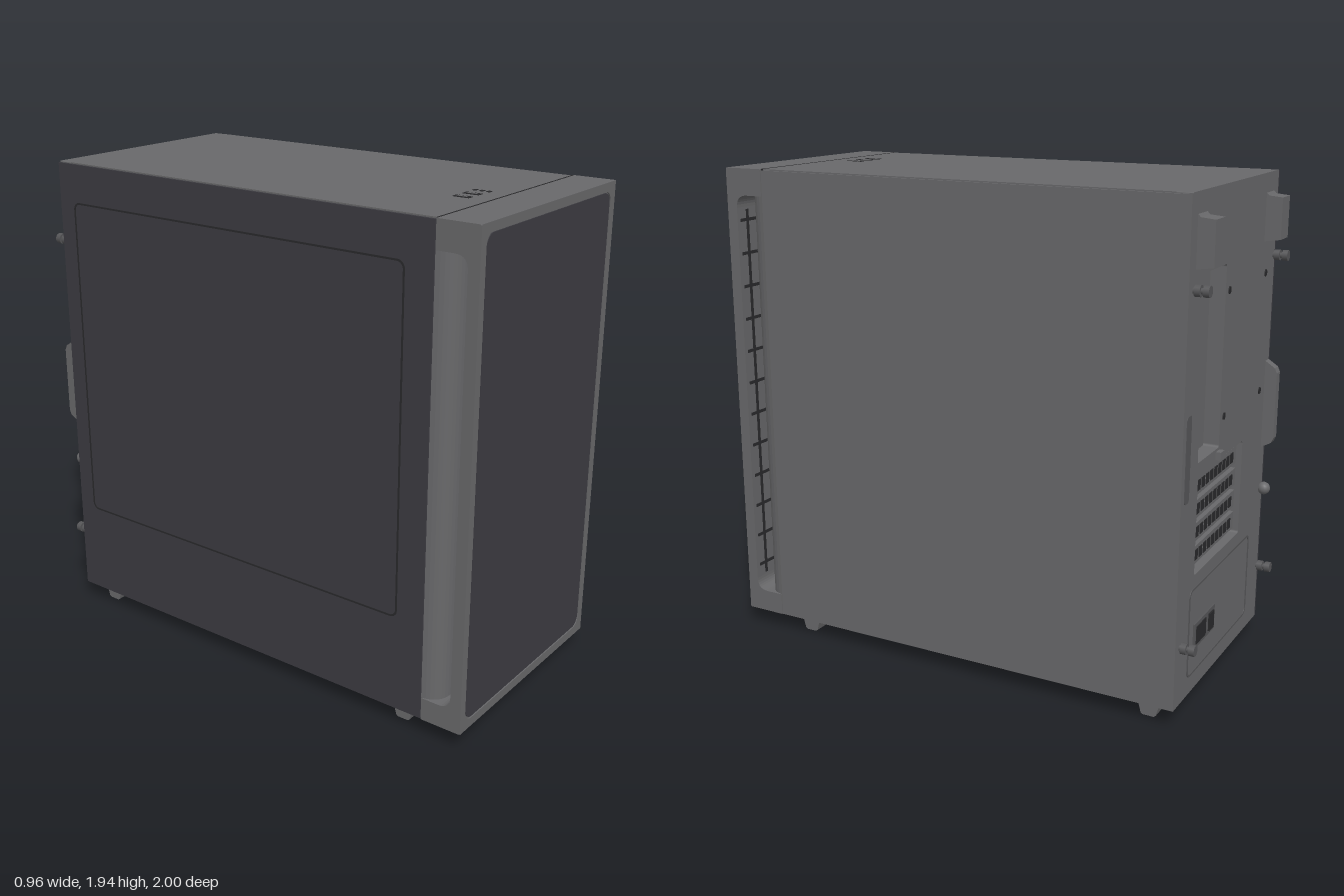
import * as THREE from 'three';

const mat = (name, color) => Object.assign(new THREE.MeshStandardMaterial({ color }), { name });

export function createModel() {
  const g = new THREE.Group();
  g.name = 'computerCase';
  const grey = mat('steel grey', 0x68686a);
  const dark = mat('dark panel', 0x3c3b41);
  const black = mat('seam black', 0x29292b);
  const mid = mat('filter grey', 0x565658);

  const add = (name, geo, m) => {
    const mesh = new THREE.Mesh(geo, m);
    mesh.name = name;
    g.add(mesh);
    return mesh;
  };
  // box given by its limits on each axis
  const box = (name, m, x0, x1, y0, y1, z0, z1) => {
    const geo = new THREE.BoxGeometry(x1 - x0, y1 - y0, z1 - z0);
    geo.translate((x0 + x1) / 2, (y0 + y1) / 2, (z0 + z1) / 2);
    return add(name, geo, m);
  };
  // rounded rectangle as a shape or hole
  const roundRect = (x0, x1, y0, y1, r, Type = THREE.Shape) => {
    const s = new Type();
    s.absarc(x1 - r, y0 + r, r, -Math.PI / 2, 0);
    s.absarc(x1 - r, y1 - r, r, 0, Math.PI / 2);
    s.absarc(x0 + r, y1 - r, r, Math.PI / 2, Math.PI);
    s.absarc(x0 + r, y0 + r, r, Math.PI, Math.PI * 1.5);
    s.closePath();
    return s;
  };
  const extrude = (s, depth) => new THREE.ExtrudeGeometry(s, { depth, bevelEnabled: false, curveSegments: 8 });
  // shape drawn in (z, y), extruded across x from x0 to x1
  const acrossX = (s, x0, x1) => extrude(s, x1 - x0).rotateY(-Math.PI / 2).translate(x1, 0, 0);

  // main body and side panels
  box('body', grey, -0.465, 0.465, 0.07, 1.935, -0.875, 0.83);
  box('solidSidePanel', grey, 0.465, 0.475, 0.07, 1.93, -0.935, 0.83);
  box('glassSidePanel', dark, -0.475, -0.465, 0.07, 1.93, -0.935, 0.826);
  const rim = roundRect(-0.86, 0.715, 0.45, 1.78, 0.03);
  rim.holes.push(roundRect(-0.853, 0.708, 0.457, 1.773, 0.025, THREE.Path));
  add('windowOutline', acrossX(rim, -0.477, -0.475), black);

  // rounded nose of the body behind the air gap
  const nose = new THREE.Shape();
  nose.moveTo(-0.475, 0.83);
  nose.lineTo(0.475, 0.83);
  nose.quadraticCurveTo(0.465, 0.905, 0.39, 0.905);
  nose.lineTo(-0.39, 0.905);
  nose.quadraticCurveTo(-0.465, 0.905, -0.475, 0.83);
  add('bodyNose', extrude(nose, 1.67).rotateX(Math.PI / 2).translate(0, 1.83, 0), grey);

  // front bezel: C profile leaving an open air gap through both sides
  const c = new THREE.Shape();
  c.moveTo(0.832, 0.07);
  c.lineTo(0.995, 0.07);
  c.lineTo(0.995, 1.935);
  c.lineTo(0.832, 1.935);
  c.lineTo(0.832, 1.83);
  c.lineTo(0.905, 1.83);
  c.quadraticCurveTo(0.955, 1.83, 0.955, 1.78);
  c.lineTo(0.955, 0.21);
  c.quadraticCurveTo(0.955, 0.16, 0.905, 0.16);
  c.lineTo(0.832, 0.16);
  c.closePath();
  add('frontBezel', acrossX(c, -0.478, 0.478), grey);
  const frame = roundRect(-0.478, 0.478, 0.07, 1.935, 0.004);
  frame.holes.push(roundRect(-0.445, 0.445, 0.105, 1.903, 0.045, THREE.Path));
  add('frontFrame', extrude(frame, 0.005).translate(0, 0, 0.995), grey);
  add('frontMesh', extrude(roundRect(-0.44, 0.44, 0.11, 1.898, 0.042), 0.004).translate(0, 0, 0.995), dark);
  box('controlBoard', mid, -0.18, 0.06, 1.7, 1.84, 0.9, 0.96);
  box('topSeam', black, -0.47, 0.47, 1.93, 1.936, 0.827, 0.833);

  // ribs on the back of the front panel
  for (const s of [-1, 1]) {
    for (let i = 0; i < 12; i++) {
      const y = 0.26 + i * 0.133, a = s * 0.46, b = s * 0.3;
      box('gapRib', black, Math.min(a, b), Math.max(a, b), y, y + 0.012, 0.951, 0.956);
    }
    box('gapRail', black, s * 0.42 - 0.006, s * 0.42 + 0.006, 0.22, 1.77, 0.951, 0.956);
  }

  // ports and button on top
  for (const x of [-0.13, -0.065]) {
    box('usbPort', black, x - 0.014, x + 0.014, 1.93, 1.937, 0.685, 0.75);
    box('usbTongue', grey, x - 0.004, x + 0.007, 1.93, 1.938, 0.695, 0.735);
  }
  for (const z of [0.69, 0.718, 0.746]) box('powerButton', black, -0.01, 0.01, 1.93, 1.937, z - 0.007, z + 0.007);

  // tapered foot bars
  for (const z of [0.72, -0.82]) {
    const f = new THREE.Shape();
    f.moveTo(z - 0.048, 0.072);
    f.lineTo(z - 0.03, 0.006);
    f.lineTo(z - 0.022, 0);
    f.lineTo(z + 0.022, 0);
    f.lineTo(z + 0.03, 0.006);
    f.lineTo(z + 0.048, 0.072);
    f.closePath();
    add('footBar', acrossX(f, -0.425, 0.425), grey);
  }

  // underside dust filter
  box('filterRim', grey, -0.335, 0.335, 0.064, 0.07, -0.76, 0.42);
  box('dustFilter', mid, -0.32, 0.32, 0.062, 0.066, -0.745, 0.405);
  box('filterHandle', grey, -0.22, -0.19, 0.058, 0.066, -0.7, -0.2);

  // rear plate with the port and card openings
  const back = roundRect(-0.465, 0.465, 0.07, 1.935, 0.003);
  back.holes.push(roundRect(0.1, 0.32, 0.97, 1.65, 0.01, THREE.Path));
  back.holes.push(roundRect(-0.18, 0.31, 0.54, 0.92, 0.01, THREE.Path));
  add('rearPlate', extrude(back, 0.06).translate(0, 0, -0.935), grey);

  // expansion slot covers with vent holes
  for (let i = 0; i < 4; i++) {
    const y = 0.56 + i * 0.09;
    box('slotCover', grey, -0.17, 0.3, y, y + 0.07, -0.915, -0.875);
    for (let j = 0; j < 9; j++) {
      const x = -0.13 + j * 0.045;
      box('slotVent', black, x, x + 0.03, y + 0.015, y + 0.055, -0.918, -0.914);
    }
  }

  // power supply plate and socket
  const psu = roundRect(-0.32, 0.35, 0.14, 0.49, 0.03);
  psu.holes.push(roundRect(-0.312, 0.342, 0.148, 0.482, 0.024, THREE.Path));
  add('powerSupplyOutline', extrude(psu, 0.004).translate(0, 0, -0.938), mid);
  box('socketPlate', mid, 0.08, 0.295, 0.24, 0.34, -0.942, -0.93);
  box('powerSocket', black, 0.18, 0.28, 0.255, 0.325, -0.945, -0.94);
  box('powerSwitch', black, 0.1, 0.15, 0.255, 0.325, -0.948, -0.94);

  // fan screw holes and a small latch
  for (const [x, y] of [[0.06, 1.55], [0.06, 1.08], [-0.36, 1.55], [-0.36, 1.08]]) {
    const h = add('fanScrewHole', new THREE.CylinderGeometry(0.014, 0.014, 0.004, 12).rotateX(Math.PI / 2), black);
    h.position.set(x, y, -0.936);
  }
  box('rearLatch', grey, 0.09, 0.13, 0.93, 0.96, -0.955, -0.93);

  // rear stand-off blocks and thumb screws
  const screw = (x, y, z) => {
    const shank = add('screwShank', new THREE.CylinderGeometry(0.011, 0.011, 0.06, 10).rotateX(Math.PI / 2), mid);
    shank.position.set(x, y, z + 0.03);
    for (const d of [0.01, 0.042]) {
      const head = add('screwHead', new THREE.CylinderGeometry(0.021, 0.021, 0.022, 14).rotateX(Math.PI / 2), mid);
      head.position.set(x, y, z + d);
    }
  };
  for (const s of [-1, 1]) {
    const block = new THREE.Shape();
    block.moveTo(-0.93, 1.865);
    block.lineTo(-0.945, 1.85);
    block.lineTo(-0.998, 1.845);
    block.lineTo(-0.998, 1.685);
    block.lineTo(-0.93, 1.675);
    block.closePath();
    add('rearBlock', acrossX(block, s * 0.37 - 0.045, s * 0.37 + 0.045), grey);
    for (const y of [0.31, 1.61]) screw(s * 0.44, y, -0.998);
  }
  const knob = add('rearKnob', new THREE.SphereGeometry(0.026, 14, 10), grey);
  knob.position.set(-0.44, 0.65, -0.952);

  // glass panel grip and the recess opposite
  const grip = new THREE.Shape();
  grip.moveTo(-0.93, 0.825);
  grip.lineTo(-0.975, 0.85);
  grip.lineTo(-0.984, 0.87);
  grip.lineTo(-0.984, 1.14);
  grip.lineTo(-0.975, 1.16);
  grip.lineTo(-0.93, 1.19);
  grip.closePath();
  add('panelGrip', acrossX(grip, -0.465, -0.425), grey);
  add('gripRecess', extrude(roundRect(0.4, 0.445, 0.85, 1.17, 0.015), 0.003).translate(0, 0, -0.937), mid);

  return g;
}
